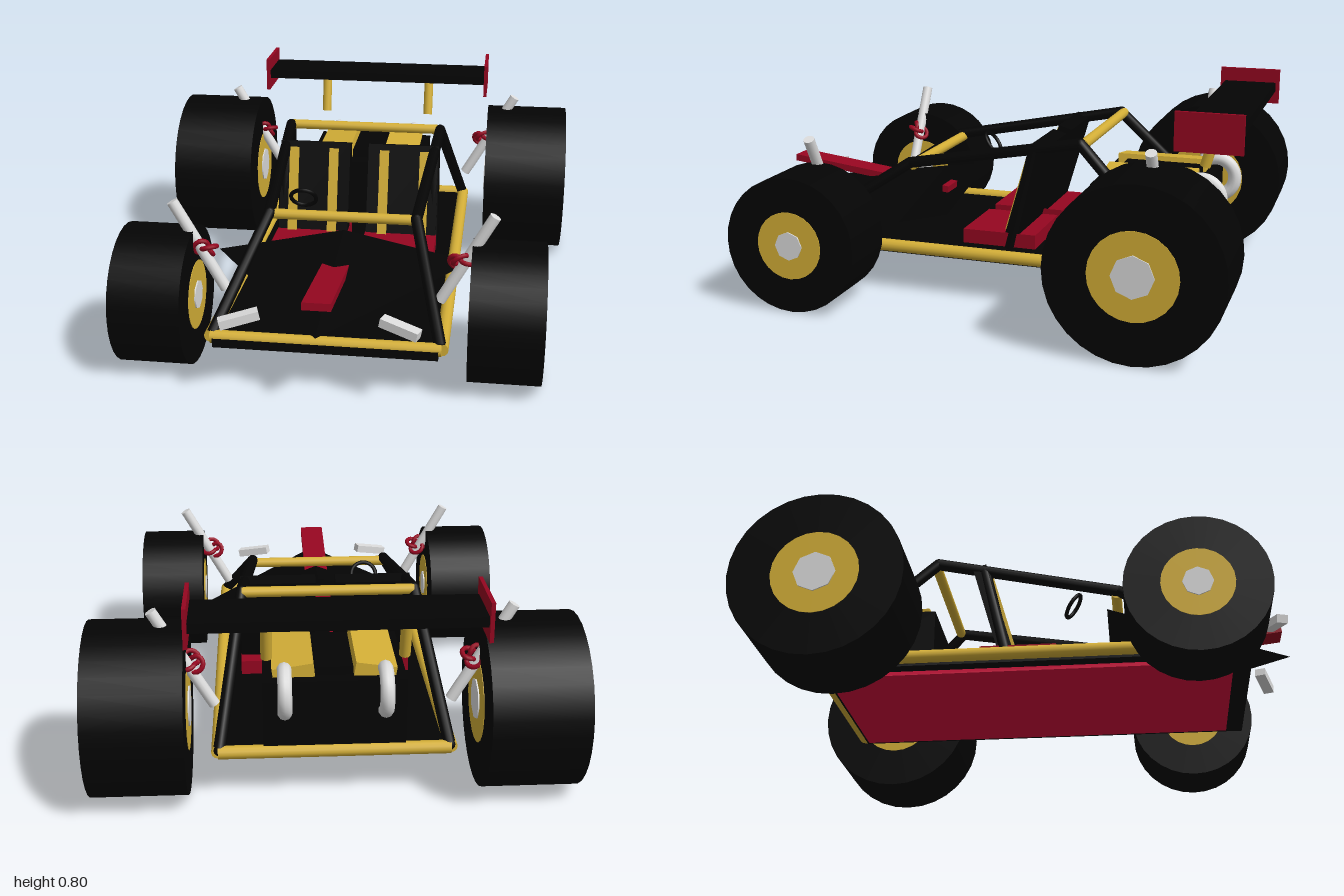
import * as THREE from 'three';

const mat = (name, color) => {
  const m = new THREE.MeshStandardMaterial({ color });
  m.name = name;
  return m;
};

export function createModel() {
  const black = mat('black', 0x040404);
  const gold = mat('gold', 0xd4af37);
  const red = mat('red', 0x960620);
  const crimson = mat('crimson', 0xd40a3c);
  const silver = mat('silver', 0xdcdcdc);

  const car = new THREE.Group();
  car.name = 'buggy';

  const add = (name, geo, material, pos = [0, 0, 0], rot = [0, 0, 0]) => {
    const mesh = new THREE.Mesh(geo, material);
    mesh.name = name;
    mesh.position.set(...pos);
    mesh.rotation.set(...rot);
    car.add(mesh);
    return mesh;
  };
  const box = (name, size, material, pos, rot) =>
    add(name, new THREE.BoxGeometry(...size), material, pos, rot);
  // Straight tube between two points
  const bar = (name, a, b, r, material) => {
    const p = new THREE.Vector3(...a), q = new THREE.Vector3(...b);
    const d = q.clone().sub(p);
    const mesh = add(name, new THREE.CylinderGeometry(r, r, d.length(), 12), material);
    mesh.position.copy(p).add(q).multiplyScalar(0.5);
    mesh.quaternion.setFromUnitVectors(new THREE.Vector3(0, 1, 0), d.normalize());
    return mesh;
  };

  // Floor
  box('floorPan', [0.8, 0.033, 1.601], black, [0, 0.1685, 0.0205]);
  box('skidPlate', [0.7, 0.015, 1.515], crimson, [0, 0.1445, -0.005]);

  // Lower and upper cross bars
  bar('frontBar', [-0.41, 0.183, 0.796], [0.41, 0.183, 0.796], 0.024, gold);
  bar('rearBar', [-0.41, 0.183, -0.796], [0.41, 0.183, -0.796], 0.024, gold);
  bar('windscreenBar', [-0.28, 0.476, 0.33], [0.28, 0.476, 0.33], 0.02, gold);
  bar('roofBar', [-0.32, 0.616, -0.37], [0.32, 0.616, -0.37], 0.02, gold);

  // Diamond-section nose pointing forward
  const nose = new THREE.ConeGeometry(1, 0.7, 4).toNonIndexed();
  nose.rotateX(Math.PI / 2);
  nose.scale(0.49, 0.105, 1);
  nose.computeVertexNormals();
  add('nose', nose, black, [0, 0.305, 0.65]);
  box('noseStripe', [0.1, 0.027, 0.7], red, [0, 0.364, 0.622], [-0.12, 0, 0]);

  // Steering wheel
  add('steeringWheel', new THREE.TorusGeometry(0.05, 0.008, 8, 24), black,
    [-0.18, 0.48, 0.158], [0.6, 0, 0]);

  // Engine block and intake
  box('engineBlock', [0.5, 0.26, 0.42], black, [0, 0.32, -0.59]);
  box('intake', [0.13, 0.05, 0.3], black, [0, 0.458, -0.6]);

  // Rear wing
  box('wing', [0.98, 0.036, 0.205], black, [0, 0.728, -0.863]);

  // Exhaust bend: arc in the y-z plane with its crown towards -z
  const exhaust = new THREE.TorusGeometry(0.075, 0.026, 10, 24, Math.PI * 1.2);
  exhaust.rotateZ(-Math.PI * 0.1).rotateX(-Math.PI / 2).rotateZ(Math.PI / 2);
  const coil = new THREE.TorusKnotGeometry(0.029, 0.009, 48, 8);

  for (const s of [-1, 1]) {
    // Chassis rail and roll cage side
    bar('sideRail', [s * 0.41, 0.183, 0.796], [s * 0.41, 0.183, -0.796], 0.024, gold);
    const cage = [[0.405, 0.19, 0.79], [0.28, 0.485, 0.34], [0.32, 0.618, -0.36], [0.405, 0.19, -0.79]];
    for (let i = 0; i < 3; i++) {
      const [a, b] = [cage[i], cage[i + 1]].map(([x, y, z]) => [s * x, y, z]);
      bar('cageTube', a, b, 0.022, black);
      add('cageJoint', new THREE.SphereGeometry(0.022, 12, 8), black, b);
    }
    bar('cagePillar', [s * 0.315, 0.19, -0.085], [s * 0.308, 0.585, -0.18], 0.024, black);

    // Seat with harness straps
    box('seatCushion', [0.295, 0.055, 0.29], red, [s * 0.183, 0.225, -0.045]);
    box('seatBack', [0.29, 0.38, 0.055], black, [s * 0.183, 0.415, -0.145], [-0.28, 0, 0]);
    for (const x of [0.105, 0.27])
      box('harnessStrap', [0.038, 0.35, 0.012], gold, [s * x, 0.415, -0.109], [-0.28, 0, 0]);

    // Engine cover and exhaust
    box('engineCover', [0.145, 0.05, 0.35], gold, [s * 0.143, 0.465, -0.585], [0, 0, -s * 0.15]);
    add('exhaust', exhaust, silver, [s * 0.175, 0.41, -0.785]);

    // Wing endplate and strut
    box('wingEndplate', [0.014, 0.14, 0.24], red, [s * 0.495, 0.73, -0.86]);
    bar('wingStrut', [s * 0.235, 0.55, -0.808], [s * 0.235, 0.72, -0.855], 0.02, gold);

    // Headlight blade
    box('headlight', [0.14, 0.032, 0.042], silver, [s * 0.276, 0.322, 0.92], [0, -s * 0.32, -s * 0.2]);

    // Wheels: [name, radius, width, centre x, z, rim radius, cap radius]
    for (const [name, r, w, x, z, rim, cap] of [
      ['front', 0.256, 0.26, 0.63, 0.62, 0.128, 0.054],
      ['rear', 0.312, 0.342, 0.684, -0.688, 0.157, 0.075],
    ]) {
      const place = [s * x, r + 0.003, z], rot = [0, 0, Math.PI / 2];
      add(name + 'Tyre', new THREE.CylinderGeometry(r, r, w, 32), black, place, rot);
      add(name + 'Rim', new THREE.CylinderGeometry(rim, rim, w + 0.004, 24), gold, place, rot);
      add(name + 'HubCap', new THREE.CylinderGeometry(cap, cap, w + 0.014, 8), silver, place, rot);
    }

    // Dampers with red coils
    bar('frontDamper', [s * 0.39, 0.29, 0.62], [s * 0.575, 0.62, 0.62], 0.021, silver);
    bar('rearDamper', [s * 0.42, 0.32, -0.69], [s * 0.628, 0.678, -0.69], 0.021, silver);
    add('frontCoil', coil, red, [s * 0.46, 0.445, 0.62], [0.8, 0, -s * 0.5]);
    add('rearCoil', coil, red, [s * 0.495, 0.485, -0.69], [0.8, 0, -s * 0.5]);
  }
  return car;
}
